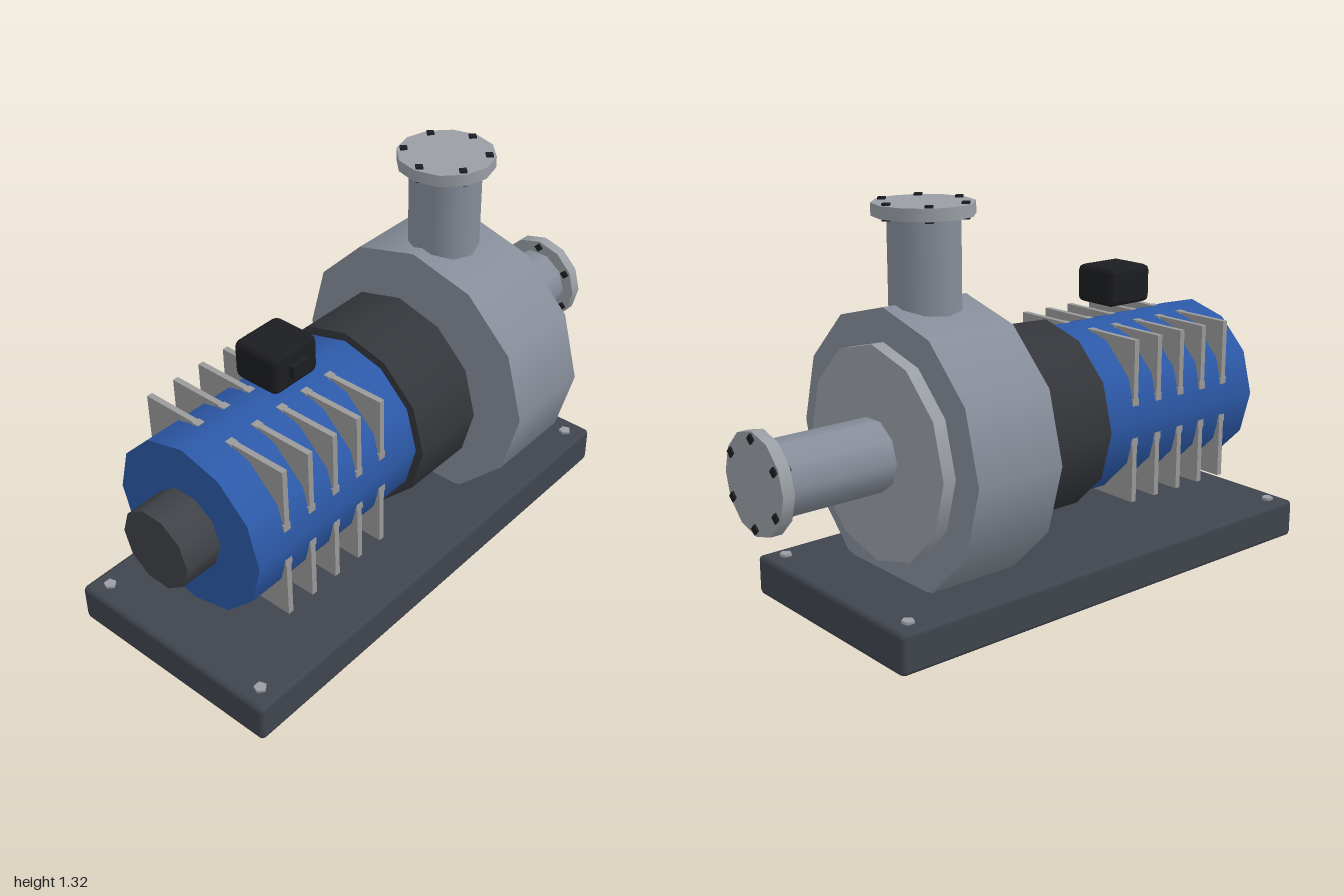
import * as THREE from 'three';
import { RoundedBoxGeometry } from 'three/addons/geometries/RoundedBoxGeometry.js';

const AXIS_Y = 0.545; // height of the shaft line
const OUTLET_X = 0.358;

const paint = (color) => new THREE.MeshStandardMaterial({ color });
const MAT = {
  base: paint(0x40454e),
  blue: paint(0x2c59a8),
  dark: paint(0x34363b),
  cap: paint(0x3f4247),
  casing: paint(0x878e9a),
  plate: paint(0x9a9fa5),
  fin: paint(0x9a9a9a),
  black: paint(0x1c1d20),
};

function add(parent, name, geometry, material, x = 0, y = 0, z = 0) {
  const mesh = new THREE.Mesh(geometry, material);
  mesh.name = name;
  mesh.position.set(x, y, z);
  parent.add(mesh);
  return mesh;
}

// Cylinder lying on the shaft line between two x positions
function shaftPart(parent, name, x0, x1, radius, sides, material) {
  const mesh = add(parent, name, new THREE.CylinderGeometry(radius, radius, x1 - x0, sides),
    material, (x0 + x1) / 2, AXIS_Y, 0);
  mesh.rotation.z = -Math.PI / 2;
  return mesh;
}

// Upright pipe with a bolted flange; the flange top is at the given length
function flangedPipe(name, length) {
  const pipe = new THREE.Group();
  pipe.name = name;
  add(pipe, 'pipe', new THREE.CylinderGeometry(0.12, 0.12, length - 0.02, 10), MAT.casing, 0, (length - 0.02) / 2);
  add(pipe, 'flange', new THREE.CylinderGeometry(0.163, 0.163, 0.04, 12), MAT.plate, 0, length - 0.02);
  const bolt = new THREE.CylinderGeometry(0.017, 0.017, 0.054, 4);
  for (let i = 0; i < 6; i++) {
    const a = (i / 6) * Math.PI * 2;
    add(pipe, 'flangeBolt', bolt, MAT.black, Math.cos(a) * 0.14, length - 0.02, Math.sin(a) * 0.14);
  }
  return pipe;
}

export function createModel() {
  const model = new THREE.Group();
  model.name = 'motorPump';

  // Base plate and anchor bolts
  add(model, 'basePlate', new RoundedBoxGeometry(1.765, 0.137, 0.81, 1, 0.017), MAT.base, -0.118, 0.0685, 0);
  const anchor = new THREE.CylinderGeometry(0.021, 0.021, 0.03, 5);
  for (const x of [-0.935, 0.695]) {
    for (const z of [-0.34, 0.34]) add(model, 'anchorBolt', anchor, MAT.plate, x, 0.131, z);
  }

  // Motor, coupling housing and pump casing along the shaft
  shaftPart(model, 'rearCap', -1, -0.865, 0.136, 10, MAT.cap);
  shaftPart(model, 'motorBody', -0.865, -0.145, 0.296, 12, MAT.blue);
  shaftPart(model, 'couplingHousing', -0.145, 0.125, 0.326, 12, MAT.dark);
  shaftPart(model, 'pumpCasing', 0.195, 0.52, 0.462, 12, MAT.casing);
  shaftPart(model, 'casingCover', 0.52, 0.565, 0.353, 12, MAT.plate);

  // Cooling fins: square plates whose outer corners emerge from the motor
  const plate = new THREE.BoxGeometry(0.02, 0.14, 0.14);
  const ends = [new THREE.BoxGeometry(0.028, 0.025, 0.03), new THREE.BoxGeometry(0.028, 0.03, 0.025)];
  plate.scale(1, 1.6, 1.6);
  for (let i = 0; i < 5; i++) {
    for (const sy of [-1, 1]) {
      for (const sz of [-1, 1]) {
        const fin = new THREE.Group();
        fin.name = 'coolingFin';
        fin.position.set(-0.73 + i * 0.108, AXIS_Y, 0);
        add(fin, 'finPlate', plate, MAT.fin, 0, sy * 0.17, sz * 0.17);
        add(fin, 'finEnd', ends[0], MAT.fin, 0, sy * 0.069, sz * 0.268);
        add(fin, 'finEnd', ends[1], MAT.fin, 0, sy * 0.268, sz * 0.069);
        model.add(fin);
      }
    }
  }

  // Terminal box above the motor with its cable entry
  add(model, 'terminalBox', new RoundedBoxGeometry(0.19, 0.132, 0.172, 1, 0.02), MAT.black, -0.46, 0.956, 0);
  add(model, 'cableEntry', new THREE.BoxGeometry(0.068, 0.042, 0.04), MAT.black, -0.46, 0.955, 0.086);

  // Outlet rises from the casing, inlet leaves along the shaft
  const outlet = flangedPipe('outlet', 0.365);
  outlet.position.set(OUTLET_X, 0.95, 0);
  model.add(outlet);

  const inlet = flangedPipe('inlet', 0.463);
  inlet.position.set(0.53, AXIS_Y, 0);
  inlet.rotation.z = -Math.PI / 2;
  model.add(inlet);

  return model;
}
